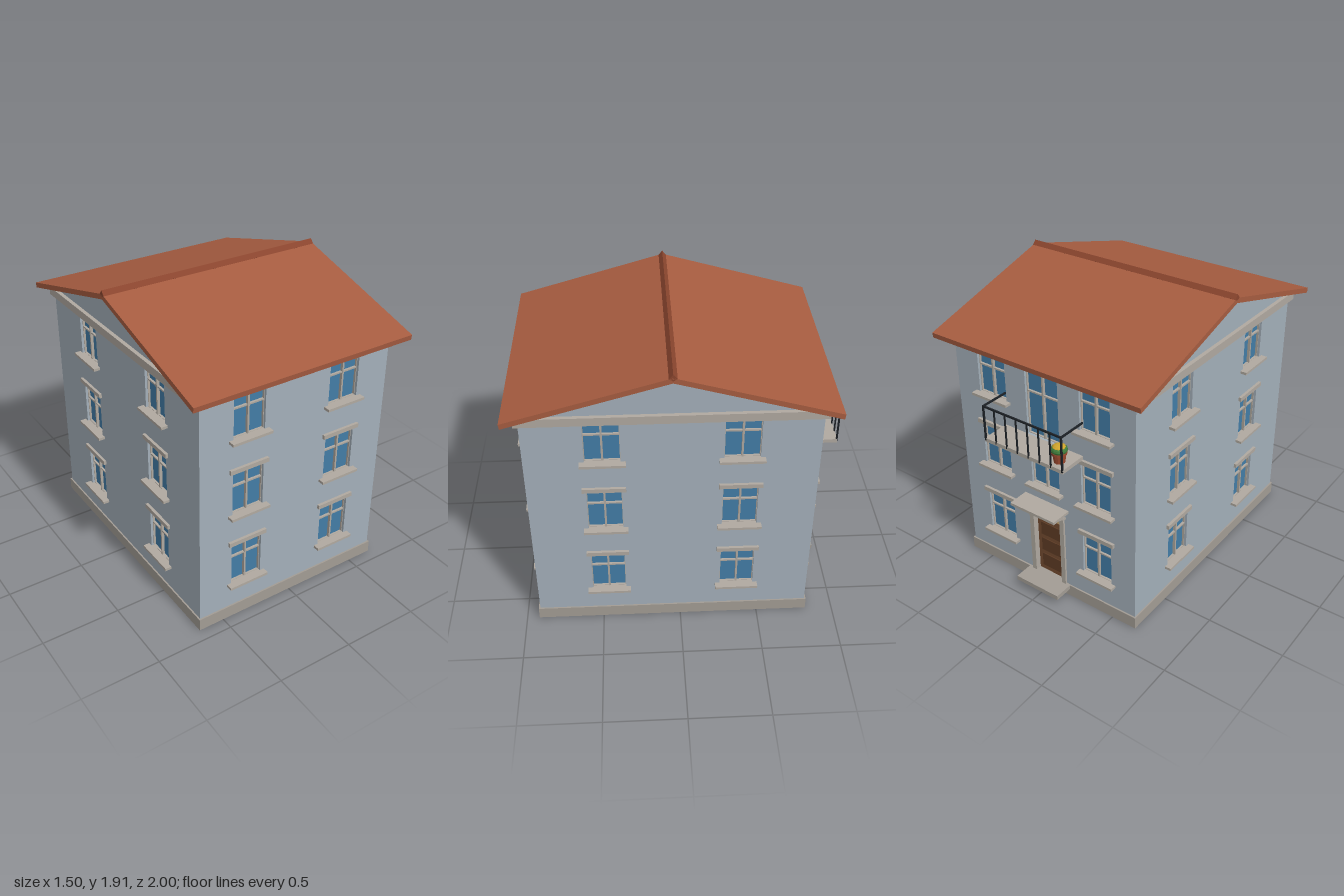
import * as THREE from 'three';

const mat = (color) => new THREE.MeshStandardMaterial({ color, flatShading: true });
const M = {
  wall: mat(0xa3afb9), trim: mat(0xb0a9a0), plinth: mat(0xa29c94), glass: mat(0x437ca6),
  roof: mat(0xa65c40), ridge: mat(0x8a452e), wood: mat(0x744c30), panel: mat(0x5f3c25),
  transom: mat(0xc9ad78), iron: mat(0x1d2126), pot: mat(0x9e4a2f), leaf: mat(0x3f7a3a),
  flower: mat(0xd0a52c),
};
const HALF_X = 0.66, HALF_Z = 0.8625, CENTER_Z = 0.0475;
const TOP = 1.6, RIDGE = 1.865, SLOPE = 0.283, RECESS = 0.03;

function add(parent, name, geo, material, x = 0, y = 0, z = 0) {
  const m = new THREE.Mesh(geo, material);
  m.name = name;
  m.position.set(x, y, z);
  parent.add(m);
  return m;
}

// Box given by its extents on each axis
function box(parent, name, material, x0, x1, y0, y1, z0, z1) {
  return add(parent, name, new THREE.BoxGeometry(x1 - x0, y1 - y0, z1 - z0), material,
    (x0 + x1) / 2, (y0 + y1) / 2, (z0 + z1) / 2);
}

const polygon = (pts) => new THREE.Shape(pts.map(([x, y]) => new THREE.Vector2(x, y)));

// Window in facade space: the wall surface is z = 0, outward is +z
function addWindow(parent, { x, y0, y1, w, sill, lintel }) {
  const g = new THREE.Group();
  g.name = 'window';
  g.position.x = x;
  parent.add(g);
  const h = w / 2, f = 0.004, zb = -RECESS, zf = -RECESS + 0.014;
  box(g, 'glass', M.glass, -h, h, y0, y1, zb - 0.01, zb);
  for (const s of [-1, 1]) {
    const e = s * (h - f / 2);
    box(g, 'frameSide', M.trim, e - f / 2, e + f / 2, y0, y1, zb, zf);
  }
  box(g, 'frameBottom', M.trim, -h, h, y0, y0 + f, zb, zf);
  box(g, 'frameTop', M.trim, -h, h, y1 - f, y1, zb, zf);
  box(g, 'mullion', M.trim, -0.006, 0.006, y0, y1, zb, zf + 0.004);
  const yt = y0 + (y1 - y0) * 0.63;
  box(g, 'crossBar', M.trim, -h, h, yt - 0.005, yt + 0.005, zb, zf);
  if (sill) box(g, 'sill', M.trim, -0.135, 0.135, y0 - 0.015, y0 + 0.002, -RECESS, 0.042);
  if (lintel) box(g, 'lintel', M.trim, -0.131, 0.131, y1, y1 + 0.028, -0.02, 0.018);
}

// Wall with cut openings and its windows
function facade(name, outline, windows, doors = []) {
  const g = new THREE.Group();
  g.name = name;
  const shape = polygon(outline);
  for (const { x, y0, y1, w } of [...windows, ...doors]) {
    const h = w / 2;
    shape.holes.push(new THREE.Path([[x - h, y0], [x - h, y1], [x + h, y1], [x + h, y0]]
      .map((p) => new THREE.Vector2(...p))));
  }
  const geo = new THREE.ExtrudeGeometry(shape, { depth: 0.05, bevelEnabled: false });
  add(g, 'wall', geo, M.wall, 0, 0, -0.05);
  windows.forEach((o) => addWindow(g, o));
  return g;
}

const FLOORS = [0.25, 0.76, 1.27];
const column = (x, floors = FLOORS) => floors.map((y0) => (
  { x, y0, y1: y0 + 0.293, w: 0.212, sill: true, lintel: y0 < 1.2 }));

// Entrance in the back facade
function addEntrance(parent) {
  const g = new THREE.Group();
  g.name = 'entrance';
  parent.add(g);
  box(g, 'door', M.wood, -0.105, 0.105, 0.08, 0.495, -0.045, -0.025);
  for (const [y0, y1] of [[0.115, 0.21], [0.24, 0.335], [0.365, 0.46]])
    box(g, 'doorPanel', M.panel, -0.075, 0.075, y0, y1, -0.03, -0.02);
  box(g, 'handle', M.iron, 0.084, 0.094, 0.27, 0.3, -0.03, -0.01);
  box(g, 'transom', M.transom, -0.105, 0.105, 0.495, 0.57, -0.045, -0.03);
  box(g, 'doorHead', M.trim, -0.135, 0.135, 0.565, 0.592, -0.03, 0.016);
  box(g, 'doorStep', M.plinth, -0.165, 0.165, 0.05, 0.08, -0.03, 0.135);
  box(g, 'canopy', M.trim, -0.17, 0.17, 0.642, 0.66, -0.01, 0.14);
  for (const s of [-1, 1]) {
    box(g, 'doorJamb', M.trim, s * 0.12 - 0.016, s * 0.12 + 0.016, 0.08, 0.57, -0.03, 0.014);
    // Strut sloping up from the wall to the canopy's outer edge
    const strut = add(g, 'canopyStrut', new THREE.BoxGeometry(0.014, 0.012, 0.14), M.trim,
      s * 0.14, 0.618, 0.058);
    strut.rotation.x = -Math.atan2(0.052, 0.125);
  }
}

// Balcony with railing and flower pot on the back facade
function addBalcony(parent) {
  const g = new THREE.Group();
  g.name = 'balcony';
  parent.add(g);
  box(g, 'balconySlab', M.trim, -0.293, 0.293, 1.08, 1.105, -0.01, 0.183);
  const z = 0.18, x = 0.288, y = 1.32, t = 0.005;
  for (const s of [-1, 1]) {
    box(g, 'bracket', M.trim, s * 0.21 - 0.022, s * 0.21 + 0.022, 1.03, 1.08, -0.01, 0.117);
    box(g, 'sideRail', M.iron, s * x - t, s * x + t, y - t, y + t, -0.01, z);
  }
  box(g, 'frontRail', M.iron, -x - t, x + t, y - t, y + t, z - t, z + t);
  for (let i = 0; i < 8; i++) {
    const px = -x + (2 * x * i) / 7, w = i % 7 ? 0.004 : t;
    box(g, 'baluster', M.iron, px - w, px + w, 1.09, y, z - w, z + w);
  }
  // Facade space is turned around, so +x here is the house's -x
  const pot = new THREE.Group();
  pot.name = 'flowerPot';
  pot.position.set(0.22, 1.105, 0.12);
  g.add(pot);
  const profile = [[0, 0], [0.033, 0], [0.04, 0.055], [0.046, 0.055], [0.047, 0.07], [0.038, 0.07], [0, 0.066]];
  add(pot, 'pot', new THREE.LatheGeometry(profile.map((p) => new THREE.Vector2(...p)), 14), M.pot);
  add(pot, 'leaves', new THREE.SphereGeometry(0.051, 12, 8), M.leaf, 0, 0.083).scale.y = 0.56;
  add(pot, 'blossom', new THREE.SphereGeometry(0.041, 12, 8), M.flower, 0, 0.096).scale.y = 0.5;
}

export function createModel() {
  const root = new THREE.Group();
  root.name = 'townHouse';
  const house = new THREE.Group();
  house.name = 'house';
  house.position.z = CENTER_Z;
  root.add(house);

  // Base and cornice
  box(house, 'plinth', M.plinth, -0.67, 0.67, 0, 0.08, -0.873, 0.873);
  box(house, 'cornice', M.trim, -0.685, 0.685, 1.547, TOP, -0.888, 0.888);

  // Front and back walls
  const eave = TOP + 0.015;
  const rect = [[-HALF_X, 0.04], [HALF_X, 0.04], [HALF_X, eave], [-HALF_X, eave]];
  const front = facade('frontFacade', rect, [...column(-0.332), ...column(0.332)]);
  front.position.z = HALF_Z;
  const back = facade('backFacade', rect, [
    ...column(-0.38), ...column(0.38), ...column(0, [0.76]),
    { x: 0, y0: 1.105, y1: 1.56, w: 0.24 },
  ], [{ x: 0, y0: 0.08, y1: 0.57, w: 0.21 }]);
  back.rotation.y = Math.PI;
  back.position.z = -HALF_Z;
  addEntrance(back);
  addBalcony(back);
  house.add(front, back);

  // Gabled side walls
  const gable = [[-HALF_Z, 0.04], [HALF_Z, 0.04], [HALF_Z, eave], [0, RIDGE], [-HALF_Z, eave]];
  for (const s of [-1, 1]) {
    const side = facade(s > 0 ? 'leftFacade' : 'rightFacade', gable, [...column(0.405), ...column(-0.405)]);
    side.rotation.y = (s * Math.PI) / 2;
    side.position.x = s * HALF_X;
    house.add(side);
  }

  // Roof slabs and ridge cap, extruded along x
  const prism = (name, pts, len, material) => {
    const geo = new THREE.ExtrudeGeometry(polygon(pts), { depth: len, bevelEnabled: false });
    geo.translate(0, 0, -len / 2).rotateY(Math.PI / 2);
    add(house, name, geo, material);
  };
  const e = 0.9525, drop = e * SLOPE;
  for (const s of [-1, 1])
    prism('roofSlope', [[0, RIDGE - 0.008], [s * (e - 0.004), RIDGE - drop - 0.008],
      [s * e, RIDGE + 0.025 - drop], [0, RIDGE + 0.025]], 1.5, M.roof);
  prism('ridgeCap', [[-0.024, 1.884], [0, 1.87], [0.024, 1.884], [0, 1.912]], 1.5, M.ridge);
  return root;
}
